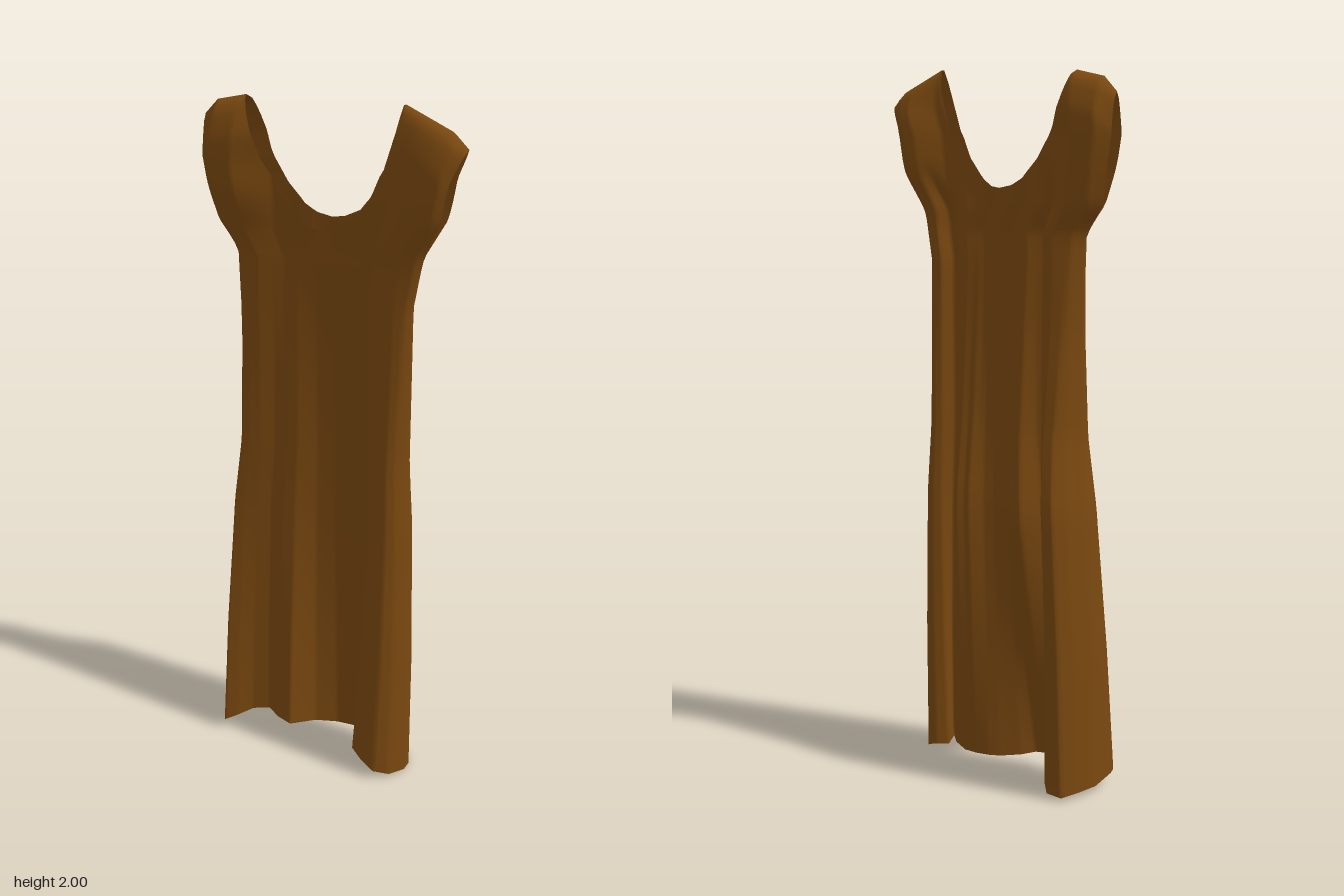
import * as THREE from 'three';
import { mergeVertices, mergeGeometries } from 'three/addons/utils/BufferGeometryUtils.js';

const { clamp, lerp, smoothstep } = THREE.MathUtils;

// Linear interpolation through rows [t, a, b, c]; k picks the column.
function at(rows, t, k = 1) {
  if (t <= rows[0][0]) return rows[0][k];
  for (let i = 1; i < rows.length; i++) {
    const p = rows[i - 1], q = rows[i];
    if (t <= q[0]) return lerp(p[k], q[k], (t - p[0]) / (q[0] - p[0] || 1));
  }
  return rows[rows.length - 1][k];
}

// Side outlines: [y, x]
const leftEdge = [[0, -0.34], [0.4, -0.33], [0.8, -0.31], [1, -0.287], [1.3, -0.285], [1.55, -0.292],
  [1.63, -0.345], [1.81, -0.375], [1.92, -0.372]];
const rightEdge = [[0, 0.262], [0.4, 0.262], [0.8, 0.252], [1, 0.24], [1.47, 0.24], [1.61, 0.265],
  [1.71, 0.315], [1.82, 0.335], [1.9, 0.37]];

// Top outline from shoulder to neckline to shoulder: x, y turned into [u, y]
const topEdge = [[-0.372, 1.92], [-0.335, 1.96], [-0.25, 1.98], [-0.225, 1.9], [-0.2, 1.83], [-0.15, 1.75],
  [-0.1, 1.7], [-0.06, 1.68], [-0.02, 1.673], [0.02, 1.68], [0.07, 1.705], [0.12, 1.76], [0.16, 1.84],
  [0.182, 1.92], [0.2, 2], [0.33, 1.94], [0.37, 1.9]]
  .map(([x, y]) => [(x - at(leftEdge, y)) / (at(rightEdge, y) - at(leftEdge, y)), y]);
const shoulder = [...topEdge.slice(0, 3), ...topEdge.slice(14)];
const uL = topEdge[2][0], uR = topEdge[14][0];
const shoulderSeam = [[0, 0.015], [uL, 0.003], [uR, -0.004], [1, -0.022]];

// Lower folds: [u, x, z at the knee, hem y, z at the hem]
const frontFolds = [[0, -0.34, 0, 0.02, 0], [0.025, -0.33, 0.06, 0.03, 0.11], [0.08, -0.29, 0.055, 0.05, 0.09],
  [0.15, -0.25, 0.044, 0.07, 0.06], [0.22, -0.2, 0.031, 0.08, 0.047], [0.29, -0.16, 0.038, 0.07, 0.063],
  [0.36, -0.115, 0.035, 0.06, 0.067], [0.46, -0.06, 0.003, 0.05, 0], [0.56, 0, -0.006, 0.045, -0.03],
  [0.66, 0.08, -0.008, 0.05, -0.034], [0.74, 0.15, -0.008, 0.06, -0.03], [0.77, 0.145, 0.02, 0.065, 0.015],
  [0.8, 0.108, 0.034, 0.065, 0.05], [0.825, 0.105, 0.05, 0.06, 0.08], [0.87, 0.15, 0.062, 0.045, 0.105],
  [0.91, 0.2, 0.07, 0.03, 0.122], [0.95, 0.24, 0.055, 0.015, 0.095], [0.98, 0.265, 0.025, 0.005, 0.04],
  [1, 0.262, 0, 0, 0]];
const backFolds = [[0, -0.34, 0, 0.02, 0], [0.03, -0.322, -0.08, 0.015, -0.06], [0.07, -0.3, -0.12, 0.01, -0.11],
  [0.13, -0.255, -0.122, 0.015, -0.115], [0.17, -0.225, -0.085, 0.03, -0.085], [0.2, -0.203, -0.055, 0.045, -0.05],
  [0.23, -0.222, -0.01, 0.06, 0.01], [0.27, -0.2, -0.02, 0.065, 0.03], [0.33, -0.14, -0.07, 0.06, 0.03],
  [0.39, -0.11, -0.075, 0.055, 0.03], [0.44, -0.08, -0.055, 0.05, -0.005], [0.51, -0.03, -0.055, 0.045, -0.04],
  [0.57, 0, -0.065, 0.045, -0.055], [0.63, 0.04, -0.094, 0.045, -0.065], [0.66, 0.06, -0.085, 0.045, -0.065],
  [0.7, 0.08, -0.097, 0.045, -0.065], [0.78, 0.13, -0.05, 0.05, -0.045], [0.84, 0.185, -0.005, 0.04, 0.01],
  [0.88, 0.172, -0.045, 0.03, -0.03], [0.92, 0.205, -0.06, 0.03, -0.055], [0.96, 0.24, -0.05, 0.015, -0.045],
  [1, 0.262, 0, 0, 0]];

// Depth of the cloth at chest and at the sleeves: [u, chest z, sleeve z]
const frontChest = [[0, 0, 0.035], [0.04, 0.02, 0.058], [0.14, 0.028, 0.062], [0.28, 0.016, 0.02], [0.5, 0.015, 0.015],
  [0.78, 0.015, 0.016], [0.9, 0.016, 0.028], [0.97, 0.014, 0.03], [1, 0, 0.018]];
const backChest = [[0, 0, -0.012], [0.05, -0.03, -0.042], [0.15, -0.05, -0.05], [0.2, -0.042, -0.042],
  [0.24, -0.015, -0.034], [0.32, -0.036, -0.032], [0.42, -0.026, -0.03], [0.5, -0.034, -0.03], [0.6, -0.028, -0.03],
  [0.7, -0.042, -0.032], [0.78, -0.034, -0.036], [0.84, -0.012, -0.062], [0.88, -0.045, -0.078],
  [0.93, -0.05, -0.08], [0.97, -0.03, -0.065], [1, 0, -0.04]];

// How strongly the folds show at each height: [y, amount]
const frontFade = [[0.75, 1], [1.55, 0]];
const backFade = [[0.82, 1], [1.05, 0.55], [1.3, 0.22], [1.55, 0]];

// One cloth panel as a grid that follows the outlines and hem folds
function panel(front) {
  const cols = 100, rows = 66, pos = [], idx = [];
  const folds = front ? frontFolds : backFolds, chest = front ? frontChest : backChest;
  const fade = front ? frontFade : backFade;
  for (let j = 0; j <= rows; j++) {
    const v = j / rows;
    for (let i = 0; i <= cols; i++) {
      const u = i / cols;
      let top = at(topEdge, u);
      if (front && u > uL && u < uR) top -= 0.028 * Math.sin(Math.PI * (u - uL) / (uR - uL)) ** 2;
      const y = v < 0.7 ? lerp(at(folds, u, 3), 1.55, v / 0.7) : lerp(1.55, top, (v - 0.7) / 0.3);
      // folds fade out upwards
      const foldX = clamp((1 - y) / 0.95, 0, 1);
      const across = lerp(u, (at(folds, u, 1) + 0.34) / 0.602, foldX);
      const x = lerp(at(leftEdge, y), at(rightEdge, y), across);
      // armholes open above the side seams, shoulders close at the top
      const upper = lerp(at(chest, u, 1), at(chest, u, 2), smoothstep(y, 1.57, 1.76));
      const lower = lerp(at(folds, u, 2), at(folds, u, 4), clamp((0.75 - y) / 0.7, 0, 1));
      let z = lerp(upper, lower, at(fade, y));
      const close = Math.sqrt(clamp((at(shoulder, u) - y) / 0.1, 0, 1));
      if (y > 1.7) z = lerp(at(shoulderSeam, u), z, close);
      pos.push(x, y, z);
      if (i < cols && j < rows) {
        const a = j * (cols + 1) + i, b = a + 1, c = a + cols + 1, d = c + 1;
        if (front) idx.push(a, b, d, a, d, c);
        else idx.push(a, d, b, a, c, d);
      }
    }
  }
  const g = new THREE.BufferGeometry();
  g.setAttribute('position', new THREE.Float32BufferAttribute(pos, 3));
  g.setIndex(idx);
  return g;
}

export function createModel() {
  const group = new THREE.Group();
  group.name = 'dress';
  const cloth = new THREE.MeshStandardMaterial({ color: 0x7a4810, side: THREE.DoubleSide });
  cloth.name = 'brown cloth';

  // Front and back panels welded along the side and shoulder seams
  const gown = mergeVertices(mergeGeometries([panel(true), panel(false)]), 1e-4);
  gown.computeVertexNormals();
  const mesh = new THREE.Mesh(gown, cloth);
  mesh.name = 'gown';
  group.add(mesh);
  return group;
}
